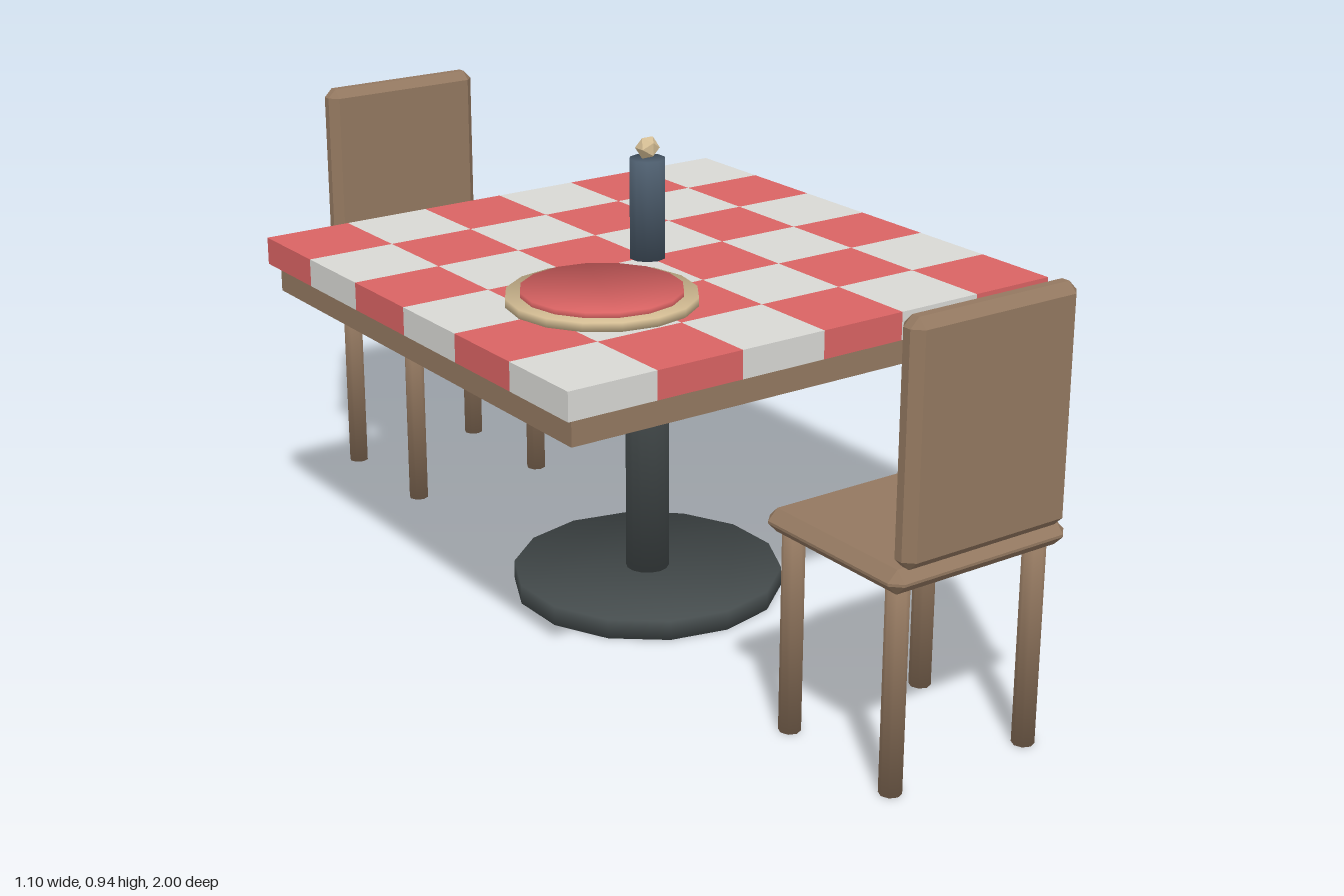
import * as THREE from 'three';
import { mergeGeometries } from 'three/addons/utils/BufferGeometryUtils.js';
import { ConvexGeometry } from 'three/addons/geometries/ConvexGeometry.js';

const material = (name, color) => {
  const m = new THREE.MeshStandardMaterial({ color });
  m.name = name;
  return m;
};

// Upright prism standing on y = 0, with normals shared softly between caps and sides
function drum(radius, height, sides) {
  const ring = [];
  for (let i = 0; i < sides; i++) {
    const a = (i / sides) * Math.PI * 2;
    ring.push(new THREE.Vector2(Math.sin(a) * radius, Math.cos(a) * radius));
  }
  const geo = new THREE.ExtrudeGeometry(new THREE.Shape(ring), { depth: height, bevelEnabled: false });
  geo.rotateX(-Math.PI / 2);
  const p = geo.attributes.position;
  const n = new THREE.Vector3();
  for (let i = 0; i < p.count; i++) {
    n.set(p.getX(i), (p.getY(i) > height / 2 ? 0.85 : -0.85) * radius, p.getZ(i)).normalize();
    geo.attributes.normal.setXYZ(i, n.x, n.y, n.z);
  }
  return geo;
}

// Box with every edge cut at 45 degrees
function chamferBox(w, h, d, b) {
  const points = [];
  for (const x of [-1, 1]) for (const y of [-1, 1]) for (const z of [-1, 1]) {
    const [X, Y, Z] = [w / 2, h / 2, d / 2];
    points.push(
      new THREE.Vector3(x * X, y * (Y - b), z * (Z - b)),
      new THREE.Vector3(x * (X - b), y * Y, z * (Z - b)),
      new THREE.Vector3(x * (X - b), y * (Y - b), z * Z));
  }
  return new ConvexGeometry(points);
}

export function createModel() {
  const wood = material('wood', 0x937860);
  const red = material('red', 0xd96363);
  const white = material('white', 0xd8d8d4);
  const iron = material('dark iron', 0x464d4e);
  const steel = material('blue steel', 0x4c5c6c);
  const tan = material('tan', 0xd4bd94);

  const model = new THREE.Group();
  const add = (parent, name, geo, mat, x, y, z) => {
    const mesh = new THREE.Mesh(geo, mat);
    mesh.name = name;
    mesh.position.set(x, y, z);
    parent.add(mesh);
    return mesh;
  };

  // Table
  const table = new THREE.Group();
  table.name = 'table';
  model.add(table);
  add(table, 'tableBase', drum(0.275, 0.04, 14), iron, 0, 0, 0);
  add(table, 'tablePole', drum(0.044, 0.56, 14), iron, 0, 0.035, 0);
  add(table, 'tableBoard', new THREE.BoxGeometry(1.064, 0.055, 1.064), wood, 0, 0.6175, 0);

  // Checked cloth, six squares by six
  const squares = [[], []];
  const size = 1.1 / 6;
  for (let i = 0; i < 6; i++) for (let j = 0; j < 6; j++) {
    const square = new THREE.BoxGeometry(size, 0.055, size);
    square.translate((i - 2.5) * size, 0, (j - 2.5) * size);
    squares[(i + j) % 2].push(square);
  }
  add(table, 'redSquares', mergeGeometries(squares[0]), red, 0, 0.6725, 0);
  add(table, 'whiteSquares', mergeGeometries(squares[1]), white, 0, 0.6725, 0);

  // Food on the table
  add(model, 'pizzaCrust', drum(0.182, 0.017, 16), tan, -0.23, 0.7, 0.18);
  add(model, 'pizzaSauce', drum(0.154, 0.017, 16), red, -0.23, 0.71, 0.18);

  // Shaker
  add(model, 'shakerBody', drum(0.036, 0.2, 10), steel, 0, 0.7, 0);
  const knob = new THREE.IcosahedronGeometry(0.024, 0);
  add(model, 'shakerKnob', knob, tan, 0, 0.921, 0);

  // Two chairs facing each other across the table
  const seatGeo = chamferBox(0.4, 0.045, 0.36, 0.02);
  const backGeo = chamferBox(0.366, 0.44, 0.053, 0.018);
  const legGeo = drum(0.021, 0.4, 8);
  for (const [name, turn] of [['frontChair', 0], ['backChair', Math.PI]]) {
    const chair = new THREE.Group();
    chair.name = name;
    chair.rotation.y = turn;
    add(chair, 'seat', seatGeo, wood, 0, 0.4125, 0.81);
    add(chair, 'backrest', backGeo, wood, 0, 0.655, 0.9735);
    for (const x of [-0.156, 0.156]) for (const z of [0.668, 0.946]) {
      add(chair, 'leg', legGeo, wood, x, 0, z);
    }
    model.add(chair);
  }
  return model;
}
